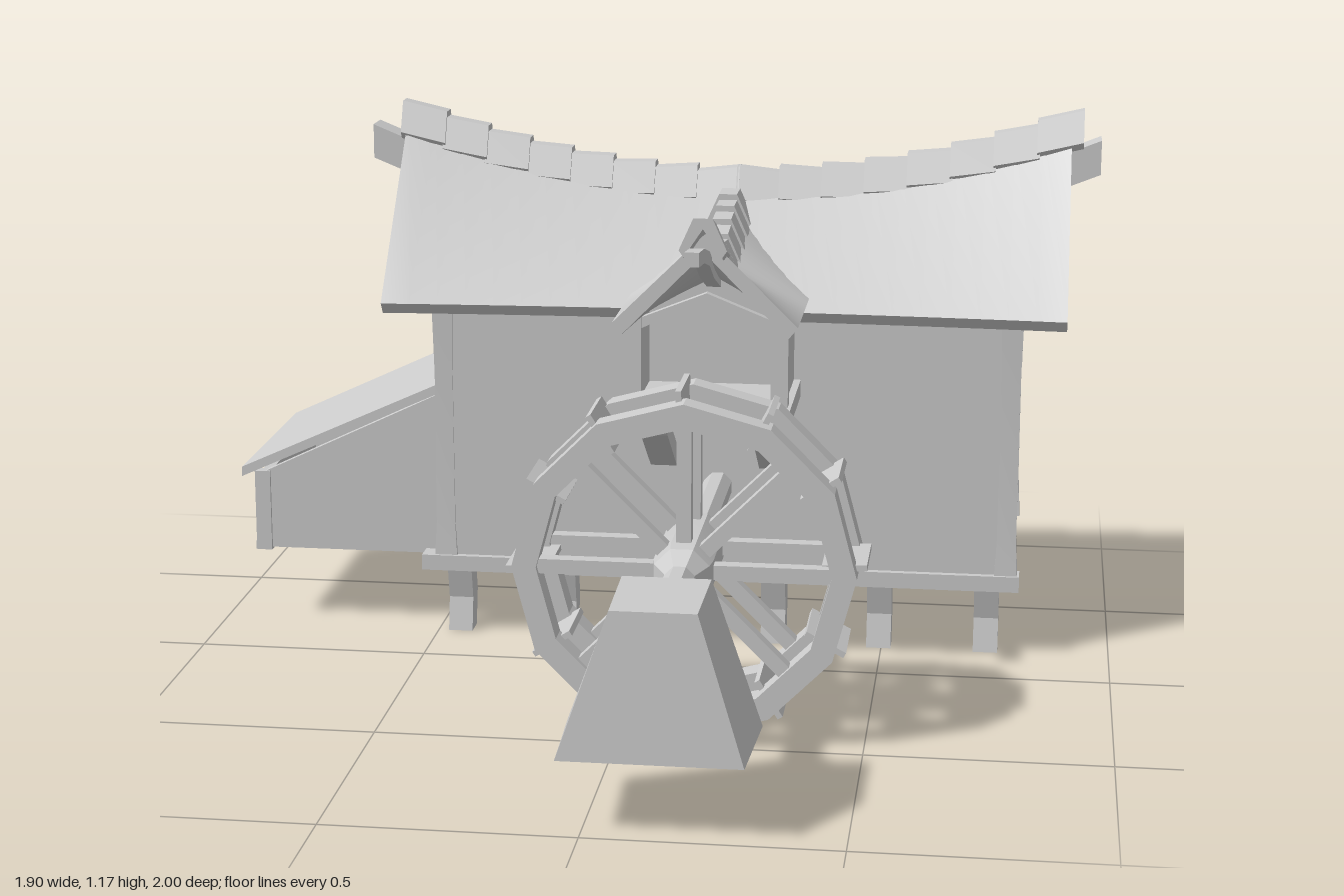
import * as THREE from 'three';
import { toCreasedNormals } from 'three/addons/utils/BufferGeometryUtils.js';

const MAT = new THREE.MeshStandardMaterial({ color: 0xcccccc, side: THREE.DoubleSide });
const ZC = -0.445, XC = 0.135, AXLE_Y = 0.365, WHEEL_Z = 0.385;

// Skins matching 2D outlines placed along an axis ('x': outline is z,y; 'z': outline is x,y; 'y': outline is x,z)
function loft(sections, axis) {
  const put = {
    x: (s, [a, b]) => [s, b, a],
    y: (s, [a, b]) => [a, s, b],
    z: (s, [a, b]) => [a, b, s],
  }[axis];
  const n = sections[0][1].length, pos = [], idx = [];
  sections.forEach(([s, pts]) => pts.forEach(p => pos.push(...put(s, p))));
  for (let i = 0; i < sections.length - 1; i++) {
    for (let j = 0; j < n; j++) {
      const a = i * n + j, b = i * n + (j + 1) % n;
      idx.push(a, b, b + n, a, b + n, a + n);
    }
  }
  const outline = sections[0][1].map(p => new THREE.Vector2(...p));
  const sign = THREE.ShapeUtils.isClockWise(outline) ? -1 : 1;
  const last = (sections.length - 1) * n;
  for (const [a, b, c] of THREE.ShapeUtils.triangulateShape(outline, [])) {
    const t = new THREE.Vector2().subVectors(outline[b], outline[a]).cross(
      new THREE.Vector2().subVectors(outline[c], outline[a])) * sign;
    const [p, q] = t > 0 ? [b, c] : [c, b];
    idx.push(a, q, p, last + a, last + p, last + q);
  }
  // Turn the skin outward when its enclosed volume is negative
  const v = i => new THREE.Vector3().fromArray(pos, i * 3);
  let volume = 0;
  for (let i = 0; i < idx.length; i += 3) volume += v(idx[i]).dot(v(idx[i + 1]).cross(v(idx[i + 2])));
  if (volume < 0) idx.reverse();
  const g = new THREE.BufferGeometry();
  g.setAttribute('position', new THREE.Float32BufferAttribute(pos, 3));
  g.setIndex(idx);
  return g;
}
const prism = (pts, from, to, axis) => loft([[from, pts], [to, pts]], axis);
const rect = (a, b, ha, hb) => [[a - ha, b - hb], [a + ha, b - hb], [a + ha, b + hb], [a - ha, b + hb]];
const range = (a, b, n) => Array.from({ length: n + 1 }, (_, i) => a + (b - a) * i / n);

function add(parent, name, geo) {
  const m = new THREE.Mesh(toCreasedNormals(geo, 0.4), MAT);
  m.name = name;
  parent.add(m);
  return m;
}
// Box given by its limits
function box(parent, name, x0, x1, y0, y1, z0, z1) {
  return add(parent, name, new THREE.BoxGeometry(x1 - x0, y1 - y0, z1 - z0)
    .translate((x0 + x1) / 2, (y0 + y1) / 2, (z0 + z1) / 2));
}
function group(parent, name) {
  const g = new THREE.Group();
  g.name = name;
  parent.add(g);
  return g;
}

// Ridge heights of the two sagging roofs
const ridge = x => 0.995 + 0.145 * ((x - 0.14) / 0.745) ** 2;
const dormerCurve = new THREE.SplineCurve([[-0.42, 0.97], [-0.25, 0.93], [-0.1, 0.89], [0.04, 0.935], [0.16, 1.0]]
  .map(p => new THREE.Vector2(...p)));
const dormerRidge = z => {
  let lo = 0, hi = 1;
  for (let i = 0; i < 20; i++) {
    const m = (lo + hi) / 2;
    if (dormerCurve.getPoint(m).x < z) lo = m; else hi = m;
  }
  return dormerCurve.getPoint(lo).y;
};
const roofOutline = (c, w, top, eave, t) => [
  [c, top], [c + w, eave], [c + w - 0.02, eave - 0.025], [c, top - t],
  [c - w + 0.02, eave - 0.025], [c - w, eave]];

// Overlapping caps, each lifted at its downhill end
function ridgeTiles(parent, f, from, to, n, c, w, axis) {
  const s = range(from, to, n);
  for (let i = 0; i < n; i++) {
    const a = s[i], b = s[i + 1] + 0.006;
    const cap = (x, lift) => [[-w, -0.045], [-w * 0.4, 0.022], [w * 0.4, 0.022], [w, -0.045], [w * 0.8, -0.06], [0, 0], [-w * 0.8, -0.06]]
      .map(([u, v]) => [c + u, f(x) + v + lift]);
    const down = f(a) > f(b);
    add(parent, 'ridgeTile', loft([[a, cap(a, down ? 0 : 0.014)], [b, cap(b, down ? 0.014 : 0)]], axis));
  }
}

// Small pointed window with a sill
function windowAt(parent, x, y, z, turn) {
  const g = group(parent, 'window');
  const outline = k => [[-0.04 * k, 0.055 - 0.055 * k], [0.04 * k, 0.055 - 0.055 * k], [0.04 * k, 0.055 + 0.025 * k],
    [0, 0.055 + 0.055 * k], [-0.04 * k, 0.055 + 0.025 * k]].map(p => new THREE.Vector2(...p));
  const shape = new THREE.Shape(outline(1));
  shape.holes.push(new THREE.Path(outline(0.75)));
  add(g, 'windowFrame', new THREE.ExtrudeGeometry(shape, { depth: 0.012, bevelEnabled: false }));
  box(g, 'windowSill', -0.065, 0.065, -0.012, 0.004, 0, 0.022);
  g.position.set(x, y, z);
  g.rotation.y = turn;
}

function buildHouse(root) {
  const g = group(root, 'house');
  add(g, 'walls', loft(range(-0.48, 0.77, 14).map(x => [x, [[ZC - 0.29, 0.17], [ZC + 0.29, 0.17],
    [ZC + 0.29, 0.76], [ZC, ridge(x) - 0.03], [ZC - 0.29, 0.76]]]), 'x'));
  add(g, 'roof', loft(range(-0.605, 0.885, 24).map(x => [x,
    roofOutline(ZC, 0.31 + 0.025 * ((x - 0.14) / 0.745) ** 2, ridge(x), 0.765, 0.045)]), 'x'));
  add(g, 'ridgeBeam', loft(range(-0.68, 0.95, 20).map(x => [x, rect(ZC, ridge(x) - 0.095, 0.035, 0.038)]), 'x'));
  ridgeTiles(g, ridge, -0.615, 0.905, 16, ZC - 0.005, 0.052, 'x');
  // Corner posts with flared ends
  for (const x of [-0.476, 0.77]) for (const z of [-0.72, -0.172])
    add(g, 'cornerPost', loft([[0.165, 0.026], [0.26, 0.021], [0.6, 0.02], [0.77, 0.024]]
      .map(([y, h]) => [y, rect(x, z, h, h)]), 'y'));
  box(g, 'frontSill', -0.53, 0.8, 0.15, 0.185, -0.19, -0.14);
  box(g, 'sideRail', 0.765, 0.782, 0.45, 0.487, -0.72, -0.17);
  box(g, 'sideSill', 0.765, 0.782, 0.17, 0.19, -0.72, -0.17);
  box(g, 'backRail', -0.47, 0.77, 0.45, 0.487, -0.741, -0.73);
  box(g, 'floorBeam', -0.48, 0.77, 0.155, 0.175, -0.5, -0.45);
  for (let i = 0; i < 6; i++) {
    const x = -0.45 + i * 0.236;
    add(g, 'foundationLeg', prism([[-0.165, 0.16], [-0.185, 0.075], [-0.17, 0], [-0.222, 0], [-0.24, 0.08], [-0.222, 0.16]],
      x - 0.027, x + 0.027, 'x'));
  }
  windowAt(g, 0.77, 0.625, ZC, Math.PI / 2);
  windowAt(g, -0.48, 0.625, ZC, -Math.PI / 2);
  windowAt(g, 0.46, 0.54, -0.735, Math.PI);
  windowAt(g, -0.16, 0.54, -0.735, Math.PI);
  // Back door
  for (const x of [0.35, 0.63]) box(g, 'doorPost', x - 0.014, x + 0.014, 0.17, 0.38, -0.748, -0.73);
  add(g, 'doorLintel', prism([[0.31, 0.365], [0.49, 0.385], [0.67, 0.365], [0.67, 0.385], [0.49, 0.408], [0.31, 0.385]], -0.757, -0.73, 'z'));
}

function buildLeanTo(root) {
  const g = group(root, 'leanTo');
  const wall = [[-0.92, 0.17], [-0.47, 0.17], [-0.47, 0.555], [-0.92, 0.34]];
  add(g, 'frontWall', prism(wall, -0.225, -0.205, 'z'));
  add(g, 'backWall', prism(wall, -0.69, -0.67, 'z'));
  box(g, 'endWall', -0.92, -0.9, 0.17, 0.34, -0.69, -0.205);
  add(g, 'leanToRoof', loft([[-0.955, 0.337, 0.25], [-0.47, 0.56, 0.267]].map(([x, y, h]) =>
    [x, rect(-0.45, y + 0.01, h, 0.011)]), 'x'));
  for (const z of [-0.685, -0.21]) box(g, 'leanToPost', -0.925, -0.89, 0.165, 0.35, z - 0.012, z + 0.012);
  box(g, 'leanToSill', -0.927, -0.9, 0.165, 0.185, -0.69, -0.2);
}

function buildAwning(root) {
  const g = group(root, 'backAwning');
  add(g, 'awningRoof', prism([[-0.73, 0.432], [-0.73, 0.447], [-1, 0.4], [-1, 0.387]], -0.405, -0.03, 'x'));
  box(g, 'awningBeam', -0.4, -0.035, 0.37, 0.39, -0.992, -0.97);
  for (const x of [-0.37, -0.065])
    add(g, 'awningPost', loft([[0.17, 0.018], [0.23, 0.013], [0.33, 0.012], [0.385, 0.016]]
      .map(([y, h]) => [y, rect(x, -0.98, h, h)]), 'y'));
}

function buildDormer(root) {
  const g = group(root, 'balconyDormer');
  add(g, 'dormerRoof', loft(range(-0.42, 0.13, 16).map(z => [z, roofOutline(XC, 0.195, dormerRidge(z), 0.79, 0.04)]), 'z'));
  ridgeTiles(g, dormerRidge, -0.4, 0.16, 9, XC, 0.05, 'z');
  add(g, 'ridgePole', loft([[-0.05, 0.85], [0.08, 0.895], [0.17, 0.94], [0.27, 0.965], [0.365, 0.975]]
    .map(([z, y]) => [z, rect(XC, y, 0.015, 0.015)]), 'z'));
  box(g, 'balconyFloor', XC - 0.18, XC + 0.18, 0.575, 0.612, -0.17, 0.125);
  add(g, 'balconyBackWall', prism([[XC - 0.15, 0.6], [XC + 0.15, 0.6], [XC + 0.15, 0.79], [XC, 0.87], [XC - 0.15, 0.79]], -0.12, -0.1, 'z'));
  for (const s of [-1, 1]) {
    const x = XC + s * 0.155;
    box(g, 'balconySideWall', x - 0.01, x + 0.01, 0.6, 0.8, -0.16, 0.085);
    box(g, 'balconyPost', x - 0.018, x + 0.018, 0.6, 0.8, 0.065, 0.1);
    const bx = XC + s * 0.12;
    add(g, 'bracket', prism([[0.05, 0.58], [0.012, 0.52], [-0.16, 0.405], [-0.16, 0.455], [-0.02, 0.545], [-0.005, 0.58]],
      bx - 0.029, bx + 0.029, 'x'));
  }
  // Arched tie between the front posts
  add(g, 'gableTie', prism([[-0.15, 0.765], [-0.08, 0.8], [0, 0.815], [0.08, 0.8], [0.15, 0.765], [0.15, 0.79], [0, 0.85], [-0.15, 0.79]]
    .map(([x, y]) => [XC + x, y]), 0.07, 0.09, 'z'));
}

function buildWheel(root) {
  const g = group(root, 'waterWheel');
  g.position.set(XC, AXLE_Y, WHEEL_Z);
  const ring = r => range(0, 11, 11).map(i => new THREE.Vector2(r * Math.cos(i * Math.PI / 6), r * Math.sin(i * Math.PI / 6)));
  const rim = new THREE.Shape(ring(0.347));
  rim.holes.push(new THREE.Path(ring(0.297)));
  for (const z of [-0.085, 0.085]) {
    add(g, 'rim', new THREE.ExtrudeGeometry(rim, { depth: 0.055, bevelEnabled: false }).translate(0, 0, z - 0.0275));
    for (let i = 0; i < 8; i++)
      add(g, 'spoke', new THREE.BoxGeometry(0.28, 0.03, 0.03).translate(0.165, 0, z)).rotation.z = i * Math.PI / 4;
  }
  for (let i = 0; i < 12; i++)
    add(g, 'paddle', new THREE.BoxGeometry(0.09, 0.012, 0.155).translate(0.32, 0, 0)).rotation.z = i * Math.PI / 6 + 0.04;
  // Axle and collars, as turned profiles along z
  const turned = (name, pts) => add(g, name, new THREE.LatheGeometry(pts.map(p => new THREE.Vector2(...p)), 8, Math.PI / 8).rotateX(Math.PI / 2));
  turned('axle', [[0, -0.56], [0.033, -0.56], [0.033, 0.39], [0, 0.39]]);
  turned('hub', [[0.033, -0.155], [0.06, -0.13], [0.065, -0.1], [0.065, 0.1], [0.06, 0.13], [0.033, 0.165]]);
  turned('axleCollar', [[0.033, 0.335], [0.058, 0.36], [0.06, 0.385]]);
}

export function createModel() {
  const root = new THREE.Group();
  root.name = 'watermill';
  buildHouse(root);
  buildLeanTo(root);
  buildAwning(root);
  buildDormer(root);
  buildWheel(root);
  // Tapered stone carrying the outer end of the axle
  add(root, 'axleStone', loft([
    [0.15, [[-0.055, 0.765], [0.322, 0.765], [0.31, 1], [-0.045, 1]]],
    [0.44, [[0.05, 0.765], [0.222, 0.765], [0.22, 0.98], [0.055, 0.98]]]], 'y'));
  return root;
}
